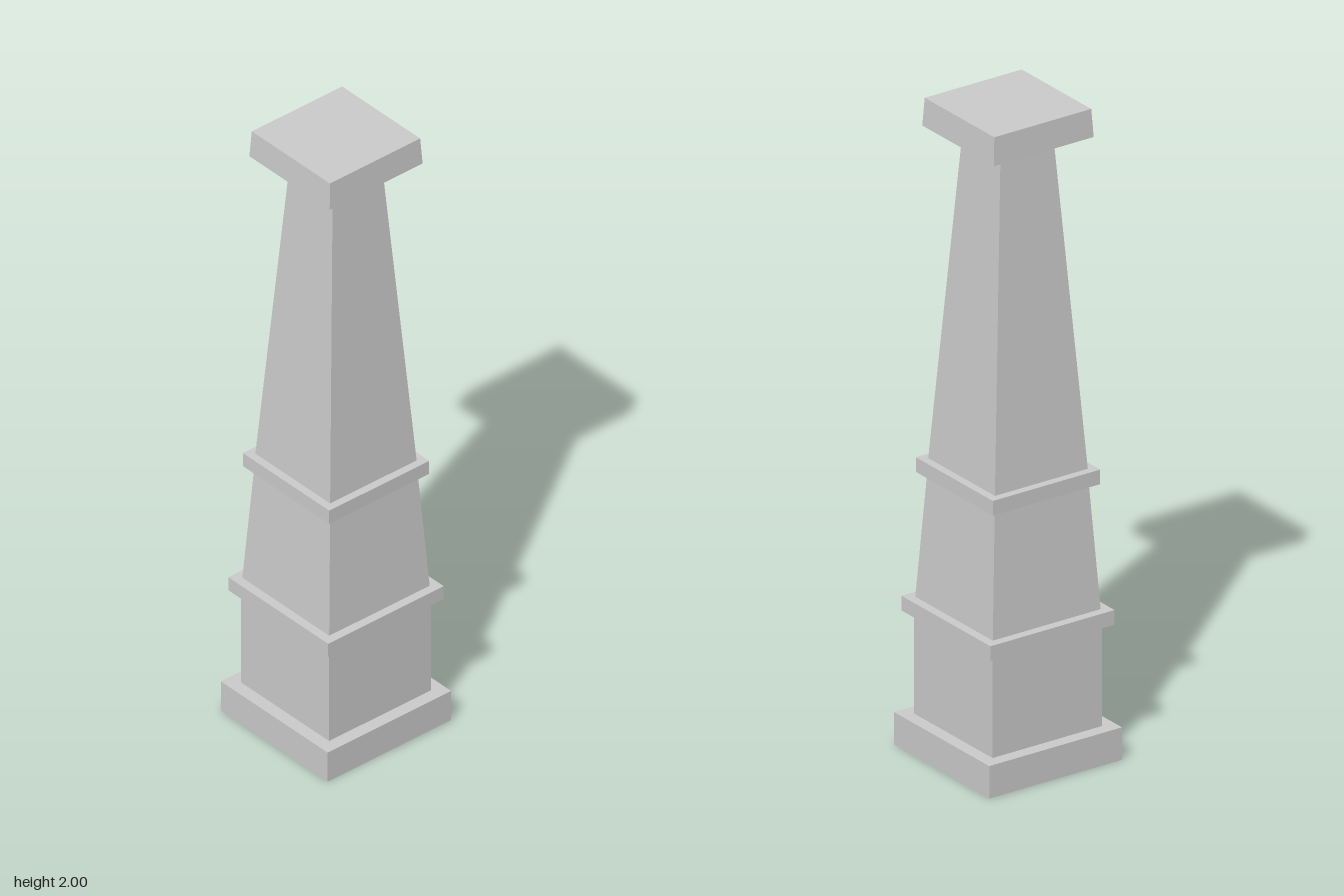
import * as THREE from 'three';

const material = new THREE.MeshStandardMaterial({ color: 0xcccccc, flatShading: true });

// Square block from y0 to y1, with half-widths at bottom and top
function block(name, y0, y1, bottom, top = bottom) {
  const geometry = new THREE.BoxGeometry(2, y1 - y0, 2);
  const p = geometry.attributes.position;
  for (let i = 0; i < p.count; i++) {
    const half = p.getY(i) < 0 ? bottom : top;
    p.setX(i, p.getX(i) * half);
    p.setZ(i, p.getZ(i) * half);
  }
  geometry.translate(0, (y0 + y1) / 2, 0);
  geometry.computeVertexNormals();
  const mesh = new THREE.Mesh(geometry, material);
  mesh.name = name;
  return mesh;
}

export function createModel() {
  const pillar = new THREE.Group();
  pillar.name = 'pillar';
  pillar.add(
    block('plinth', 0, 0.1, 0.23),
    block('pedestal', 0.1, 0.415, 0.19),
    block('lowerBand', 0.415, 0.46, 0.215),
    // Tapered shaft, split by the upper band
    block('lowerShaft', 0.46, 0.845, 0.187, 0.163),
    block('upperBand', 0.845, 0.89, 0.186),
    block('upperShaft', 0.89, 1.9, 0.161, 0.092),
    // Capital: sloped underside and slightly tapered slab
    block('capitalUnderside', 1.9, 1.914, 0.1, 0.173),
    block('capital', 1.914, 2, 0.173, 0.168),
  );
  return pillar;
}
